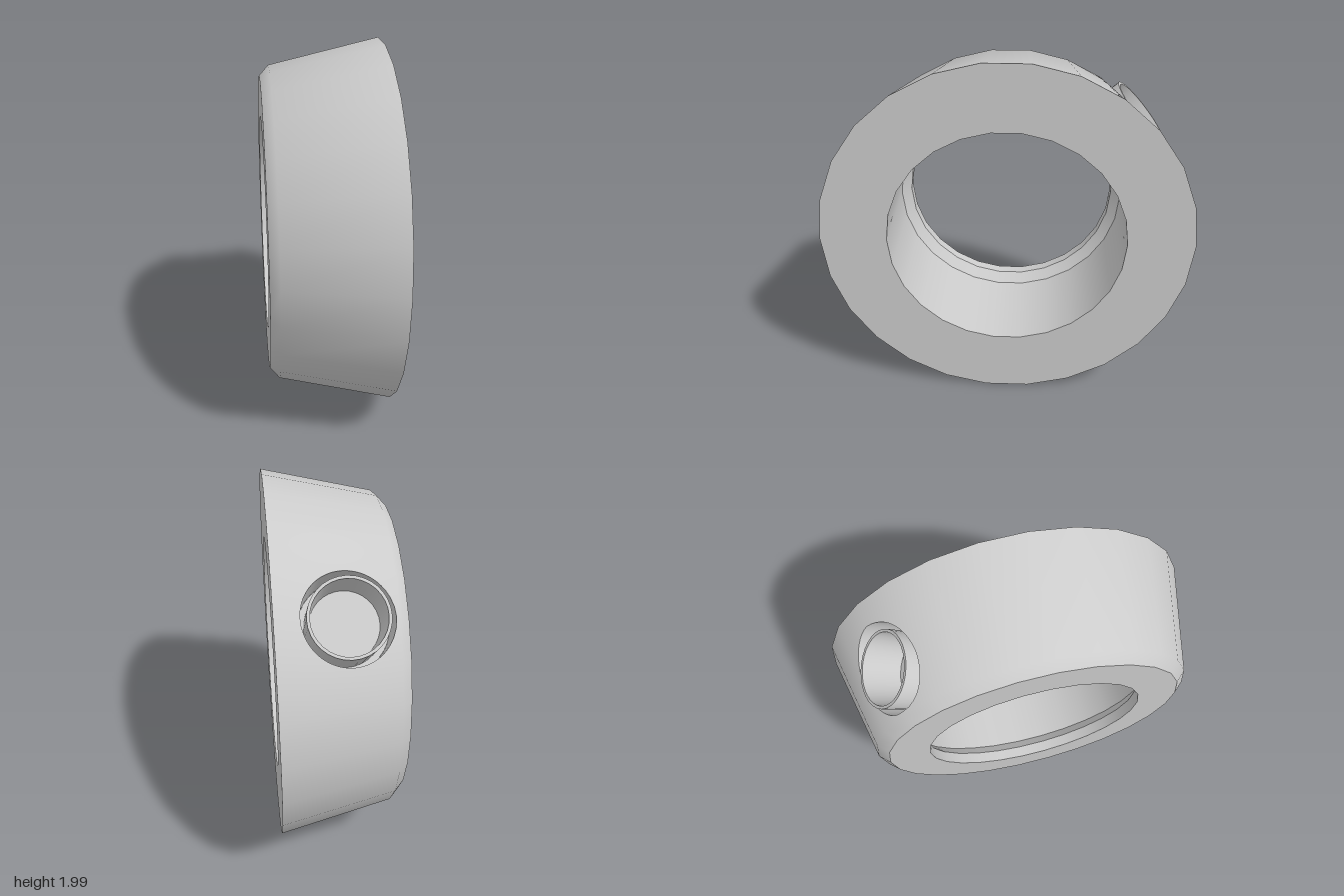
import * as THREE from 'three';

const SIDES = 26;
const STEP = (Math.PI * 2) / SIDES;
const X0 = -0.32, XC = -0.27, X1 = 0.32; // small end, chamfer edge, large end
const R0 = 0.81, RC = 0.865, R1 = 1;
const HOLE = { x: -0.026, phi: 16 * STEP, r: 0.225, floor: 0.66 };
const axis = new THREE.Vector3(0, -Math.sin(HOLE.phi), Math.cos(HOLE.phi));
const map = THREE.MathUtils.mapLinear;

// Radius of the faceted tapered wall at a given x and angle
function wallRadius(x, phi) {
  const k = ((phi % STEP) + STEP) % STEP;
  return (map(x, XC, X1, RC, R1) * Math.cos(STEP / 2)) / Math.cos(k - STEP / 2);
}

function wallPoint(x, phi) {
  const r = wallRadius(x, phi);
  return new THREE.Vector3(x, -r * Math.sin(phi), r * Math.cos(phi));
}

// Surface through closed loops of points
function loft(loops) {
  const n = loops[0].length, index = [];
  for (let i = 0; i < loops.length - 1; i++) {
    for (let j = 0; j < n; j++) {
      const a = i * n + j, b = i * n + ((j + 1) % n);
      index.push(a, b, a + n, b, b + n, a + n);
    }
  }
  const geo = new THREE.BufferGeometry().setFromPoints(loops.flat());
  geo.setIndex(index);
  geo.computeVertexNormals();
  return geo;
}

// Turned surface about the x axis; profile points are [radius, x]
function turned(profile, start = 0, count = SIDES) {
  const pts = profile.map(([r, x]) => new THREE.Vector2(r, x));
  return new THREE.LatheGeometry(pts, count, start * STEP, count * STEP).rotateZ(-Math.PI / 2);
}

// One smooth shading across the taper, the chamfer and the patch round the hole
function shadeOuter(geo) {
  const p = geo.attributes.position, n = geo.attributes.normal;
  for (let i = 0; i < p.count; i++) {
    const x = p.getX(i);
    const nx = x < XC ? map(x, X0, XC, -0.74, -0.5) : map(x, XC, X1, -0.5, -0.223);
    const r = Math.hypot(p.getY(i), p.getZ(i)), s = Math.sqrt(1 - nx * nx) / r;
    n.setXYZ(i, nx, p.getY(i) * s, p.getZ(i) * s);
  }
  return geo;
}

export function createModel() {
  const model = new THREE.Group();
  const material = new THREE.MeshStandardMaterial({ color: 0xcccccc });
  const add = (parent, name, geo) => {
    const mesh = new THREE.Mesh(geo, material);
    mesh.name = name;
    parent.add(mesh);
    return mesh;
  };

  const ring = new THREE.Group();
  ring.name = 'collar';
  ring.position.y = Math.cos(STEP / 2);
  model.add(ring);

  // Outer wall, leaving four facets free for the screw pocket
  add(ring, 'outerWall', shadeOuter(turned([[R0, X0], [RC, XC], [R1, X1]], 18, SIDES - 4)));
  add(ring, 'chamferByPocket', shadeOuter(turned([[R0, X0], [RC, XC]], 14, 4)));

  // End faces and stepped bore, sharp between sections
  const section = [[R1, X1], [0.64, X1], [0.64, -0.21], [0.59, -0.26], [0.59, X0], [R0, X0]];
  const names = ['largeEndFace', 'bore', 'boreShoulder', 'boreLip', 'smallEndFace'];
  names.forEach((name, i) => add(ring, name, turned([section[i], section[i + 1]])));

  // Border of the free facets, as x and angle from the pocket axis
  const D = 2 * STEP, N = 16;
  const corners = [[X1, -D], [X1, D], [XC, D], [XC, -D]];
  const border = [];
  corners.forEach(([x, d], c) => {
    const [ex, ed] = corners[(c + 1) % 4];
    for (let i = 0; i < N; i++) border.push([map(i, 0, N, x, ex), map(i, 0, N, d, ed)]);
  });

  // Pocket edge where the round hole meets the wall
  const edge = border.map(([bx, bd]) => {
    const t = Math.atan2(bd * 0.92, bx - HOLE.x);
    const x = HOLE.x + HOLE.r * Math.cos(t);
    let d = 0;
    for (let k = 0; k < 5; k++) d = Math.asin((HOLE.r * Math.sin(t)) / wallRadius(x, HOLE.phi + d));
    return [x, d];
  });

  // Wall between pocket edge and border
  const loops = [];
  for (let i = 0; i <= 8; i++) {
    loops.push(edge.map(([x, d], j) => wallPoint(
      map(i, 0, 8, x, border[j][0]), HOLE.phi + map(i, 0, 8, d, border[j][1]))));
  }
  add(ring, 'wallAroundPocket', shadeOuter(loft(loops)));

  // Pocket side
  const top = loops[0];
  const bottom = top.map((p) => p.clone().addScaledVector(axis, HOLE.floor - p.dot(axis)));
  add(ring, 'pocketSide', loft([bottom, top]));

  // Hollow set screw standing in the pocket, with the pocket floor
  const screw = new THREE.Group();
  screw.name = 'setScrew';
  screw.position.x = HOLE.x;
  screw.quaternion.setFromUnitVectors(new THREE.Vector3(0, 1, 0), axis);
  ring.add(screw);
  const profile = [[HOLE.r, HOLE.floor], [0.195, HOLE.floor], [0.195, 0.93], [0.18, 0.93], [0.172, 0.705], [0, 0.705]];
  ['pocketFloor', 'screwSide', 'screwRim', 'socketSide', 'socketFloor'].forEach((name, i) => {
    const pts = [profile[i], profile[i + 1]].map(([r, y]) => new THREE.Vector2(r, y));
    add(screw, name, new THREE.LatheGeometry(pts, 32));
  });

  return model;
}
